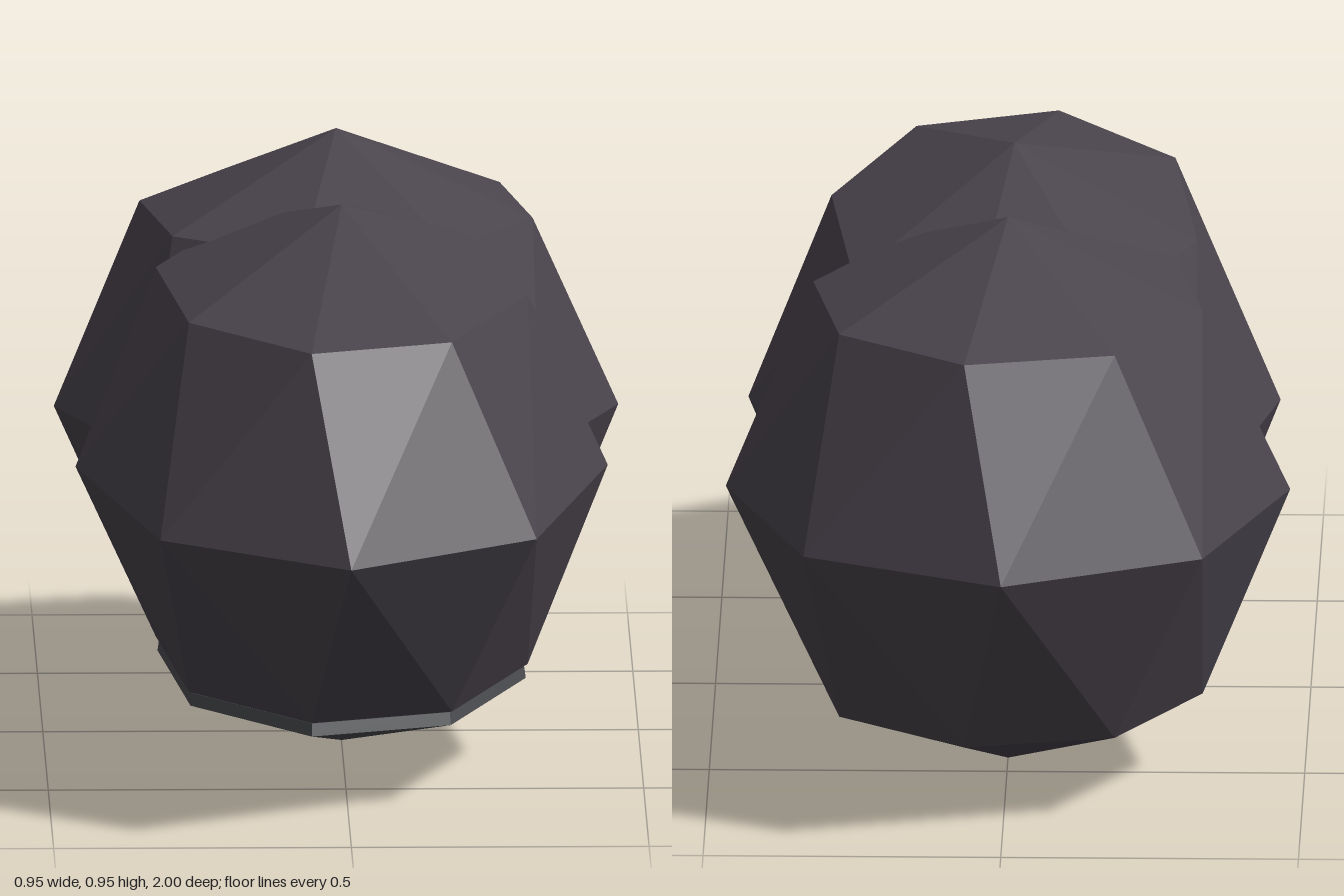
import * as THREE from 'three';
import { ConvexGeometry } from 'three/addons/geometries/ConvexGeometry.js';

const MID_Y = 0.474;
const TWIST = -Math.PI / 16;

// Eight points around an ellipse at height y
function ring(rx, rz, y, twist = 0) {
  return Array.from({ length: 8 }, (_, i) => {
    const a = (i * Math.PI) / 4 + twist;
    return new THREE.Vector3(Math.sin(a) * rx, y, Math.cos(a) * rz);
  });
}

function part(name, points, material, z) {
  const mesh = new THREE.Mesh(new ConvexGeometry(points), material);
  mesh.name = name;
  mesh.position.set(0, MID_Y, z);
  return mesh;
}

// Eight-sided ellipsoid with its upper and lower rings turned slightly
function lobe(r, rz) {
  const k = Math.SQRT1_2;
  return [
    new THREE.Vector3(0, r, 0),
    ...ring(r * k, rz * k, r * k, TWIST),
    ...ring(r, rz, 0),
    ...ring(r * k, rz * k, -r * k, TWIST),
    new THREE.Vector3(0, -r, 0),
  ];
}

export function createModel() {
  const group = new THREE.Group();
  group.name = 'model';
  const shell = new THREE.MeshStandardMaterial({ color: 0x4a444d, flatShading: true });
  shell.name = 'dark shell';
  const under = new THREE.MeshStandardMaterial({ color: 0x4c4d51, flatShading: true });
  under.name = 'grey underside';

  // Long front lobe and rounder rear lobe
  group.add(part('frontLobe', lobe(0.447, 0.9), shell, 0.1));
  group.add(part('rearLobe', lobe(0.474, 0.58), shell, -0.42));

  // Shallow plate hanging just under the front lobe
  const plate = [
    ...ring(0.31, 0.625, -0.319, TWIST),
    ...ring(0.313, 0.632, -0.34, TWIST),
    new THREE.Vector3(0, -0.47, 0),
  ];
  group.add(part('undersidePlate', plate, under, 0.1));
  return group;
}
